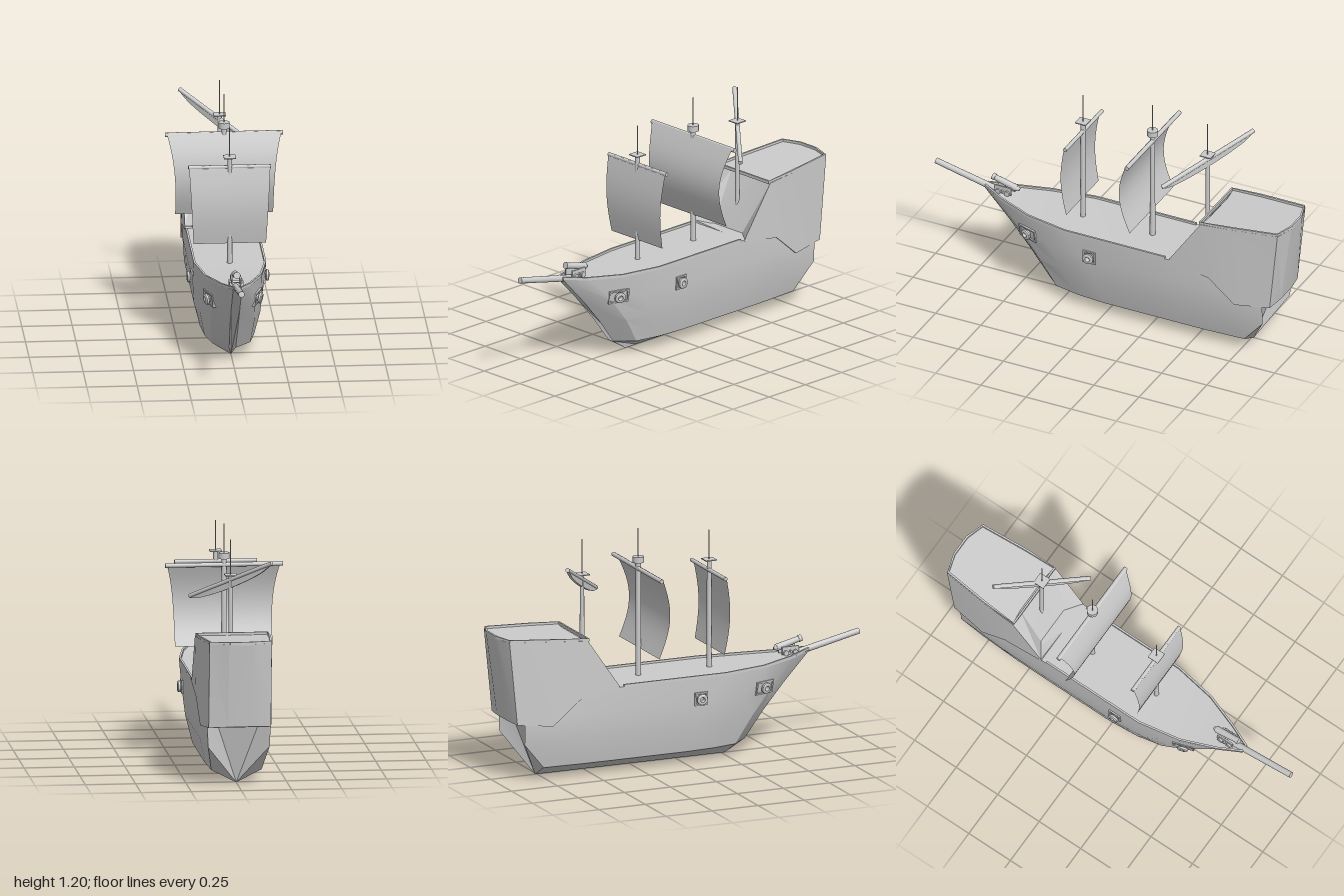
import * as THREE from 'three';
import { toCreasedNormals } from 'three/addons/utils/BufferGeometryUtils.js';

const V = (x, y, z) => new THREE.Vector3(x, y, z);
const mat = new THREE.MeshStandardMaterial({ color: 0xcccccc });
const thinMat = new THREE.MeshStandardMaterial({ color: 0xcccccc, side: THREE.DoubleSide });

function add(parent, name, geo, pos, material = mat) {
  const m = new THREE.Mesh(geo, material);
  m.name = name;
  if (pos) m.position.copy(pos);
  parent.add(m);
  return m;
}

// Skin a list of closed rings (counter-clockwise seen from the far end), with end caps
function loft(rings, crease = 0.4) {
  const out = [];
  const tri = (...pts) => pts.forEach((p) => out.push(p.x, p.y, p.z));
  const n = rings[0].length;
  for (let i = 0; i < rings.length - 1; i++) {
    for (let j = 0; j < n; j++) {
      const k = (j + 1) % n;
      tri(rings[i][j], rings[i][k], rings[i + 1][k]);
      tri(rings[i][j], rings[i + 1][k], rings[i + 1][j]);
    }
  }
  const a = rings[0], b = rings[rings.length - 1];
  for (let j = 1; j < n - 1; j++) {
    tri(a[0], a[j + 1], a[j]);
    tri(b[0], b[j], b[j + 1]);
  }
  const g = new THREE.BufferGeometry();
  g.setAttribute('position', new THREE.Float32BufferAttribute(out, 3));
  return toCreasedNormals(g, crease);
}

// Upright strip of rectangular section following a path
function strip(path, half, low, high) {
  return loft(path.map((p, i) => {
    const d = path[Math.min(i + 1, path.length - 1)].clone().sub(path[Math.max(i - 1, 0)]);
    const r = V(0, 1, 0).cross(d).normalize().multiplyScalar(half);
    const at = (s, y) => p.clone().addScaledVector(r, s).add(V(0, y, 0));
    const lo = low(i / (path.length - 1));
    return [at(1, lo), at(1, high), at(-1, high), at(-1, lo)];
  }), 0.3);
}

// Round bar between two points
function rod(parent, name, a, b, r0, r1 = r0, sides = 16) {
  const d = b.clone().sub(a);
  const m = add(parent, name, new THREE.CylinderGeometry(r1, r0, d.length(), sides), a.clone().add(b).multiplyScalar(0.5));
  m.quaternion.setFromUnitVectors(V(0, 1, 0), d.normalize());
  return m;
}

// Hull: five levels from keel to sheer, seven stations from stern to stem
function buildHull(ship) {
  const levels = [ // y, half width, stern z, stem z, bow fullness
    [0, 0, -0.76, 0.27, 1], [0.065, 0.135, -0.77, 0.37, 0.4], [0.2, 0.168, -0.885, 0.47, 0.5],
    [0.33, 0.178, -0.885, 0.58, 0.6], [0.448, 0.18, -0.885, 0.72, 1],
  ];
  const stations = [ // fraction of length, width factor, sheer rise
    [0, 0.83, 0], [0.18, 0.98, 0], [0.33, 1, 0], [0.676, 1, 0], [0.813, 0.79, 0.004], [0.925, 0.42, 0.016], [1, 0.12, 0.032],
  ];
  const rings = stations.map(([t, f, rise], i) => {
    const side = levels.map(([y, w, z0, z1, p], l) =>
      V(w * (i === 6 ? f : f ** p), y + (l === 4 ? rise : 0), THREE.MathUtils.lerp(z0, z1, t)));
    return [...side, ...side.slice(1).reverse().map((v) => V(-v.x, v.y, v.z))];
  });
  add(ship, 'hull', loft(rings, 0.45));
  // Low bulwark around the main deck
  const edge = rings.slice(2).map((r) => V(r[4].x - 0.005, r[4].y, r[4].z));
  edge[edge.length - 1].z -= 0.005;
  const path = [...edge, ...edge.slice().reverse().map((v) => V(-v.x, v.y, v.z))];
  add(ship, 'deckRail', strip(path, 0.005, () => -0.004, 0.011));
}

// Raised stern castle with sloped front and rounded overhanging transom
function buildSternCastle(ship) {
  const stations = [ // bottom z, y, top z, y, half width, top z at centre, y at centre
    [-0.94, 0.31, -0.998, 0.734, 0.06, -0.998, 0.734],
    [-0.925, 0.305, -0.968, 0.732, 0.155, -0.968, 0.732],
    [-0.74, 0.285, -0.72, 0.716, 0.177, -0.72, 0.716],
    [-0.6, 0.405, -0.555, 0.704, 0.183, -0.565, 0.704],
    [-0.38, 0.44, -0.385, 0.458, 0.181, -0.44, 0.445],
  ];
  add(ship, 'sternCastle', loft(stations.map(([bz, by, tz, ty, w, cz, cy]) => [
    V(w, by, bz), V(w, ty, tz), V(w * 0.55, cy, cz),
    V(-w * 0.55, cy, cz), V(-w, ty, tz), V(-w, by, bz),
  ]), 0.3));
  const edge = stations.slice(0, 4).map((s) => V(s[4] - 0.005, s[3], s[2] + 0.004));
  const path = [...edge, ...edge.slice().reverse().map((v) => V(-v.x, v.y, v.z)), edge[0].clone()];
  add(ship, 'castleRail', strip(path, 0.005, () => -0.004, 0.012));
}

// Billowing sheet; v runs from 0 at the foot to 1 at the yard
function sail(parent, name, top, foot, z, bulge, widthAt) {
  const g = new THREE.PlaneGeometry(2, 1, 10, 14);
  const p = g.attributes.position;
  for (let i = 0; i < p.count; i++) {
    const v = p.getY(i) + 0.5;
    p.setXYZ(i, p.getX(i) * widthAt(v), foot + (top - foot) * v, z + bulge * Math.sin(Math.PI * v));
  }
  g.computeVertexNormals();
  add(parent, name, g, null, thinMat);
}

function mast(ship, name, z, top, tip, r) {
  const g = new THREE.Group();
  g.name = name;
  ship.add(g);
  rod(g, 'pole', V(0, 0.44, z), V(0, top, z), r, r * 0.9);
  rod(g, 'flagPole', V(0, top, z), V(0, tip, z), 0.0025, 0.0025, 8);
  return g;
}

function buildRigging(ship) {
  const fore = mast(ship, 'foreMast', 0.185, 0.995, 1.15, 0.013);
  add(fore, 'platform', new THREE.BoxGeometry(0.06, 0.005, 0.06), V(0, 0.997, 0.185));
  rod(fore, 'yard', V(-0.205, 0.945, 0.182), V(0.205, 0.945, 0.182), 0.01);
  sail(fore, 'foreSail', 0.953, 0.55, 0.188, 0.025, (v) => 0.18 + 0.022 * v);

  const main = mast(ship, 'mainMast', -0.2, 1.03, 1.2, 0.014);
  add(main, 'crowsNest', new THREE.CylinderGeometry(0.028, 0.028, 0.03, 20), V(0, 1.04, -0.2));
  rod(main, 'yard', V(-0.293, 0.995, -0.203), V(0.293, 0.995, -0.203), 0.011);
  sail(main, 'mainSail', 1.003, 0.585, -0.194, 0.056, (v) => 0.243 + 0.042 * v ** 3);

  // Mizzen carries a slanted yard with its sail gathered beneath
  const mizzen = mast(ship, 'mizzenMast', -0.505, 0.995, 1.175, 0.012);
  add(mizzen, 'platform', new THREE.BoxGeometry(0.06, 0.005, 0.06), V(0, 0.997, -0.505));
  const a = V(-0.187, 1.08, -0.668), b = V(0.187, 0.866, -0.345);
  rod(mizzen, 'lateenYard', a, b, 0.011);
  const path = Array.from({ length: 11 }, (_, i) => a.clone().lerp(b, 0.03 + 0.094 * i));
  add(mizzen, 'furledSail', strip(path, 0.007, (t) => -0.012 - 0.03 * Math.sqrt(Math.sin(Math.PI * Math.min(t, 0.999))), 0));
}

// Gun port: frame, bezel and short flared muzzle, facing local +z
function gunPort(ship, x, y, z, yaw, tilt, width) {
  const barrel = [[0.018, -0.02], [0.018, 0.008], [0.028, 0.012], [0.028, 0.022], [0.022, 0.026], [0.013, 0.026], [0.013, -0.01], [0, -0.01]];
  for (const s of [1, -1]) {
    const g = new THREE.Group();
    g.name = s > 0 ? 'leftGunPort' : 'rightGunPort';
    g.position.set(s * x, y, z);
    g.rotation.set(tilt, s * yaw, 0, 'YXZ');
    ship.add(g);
    for (const k of [1, -1]) {
      add(g, 'frameSide', new THREE.BoxGeometry(0.008, 0.068, 0.014), V(k * (width / 2 - 0.004), 0, 0));
      add(g, 'frameEdge', new THREE.BoxGeometry(width, 0.008, 0.014), V(0, k * 0.03, 0));
    }
    const gun = new THREE.LatheGeometry(barrel.map((p) => new THREE.Vector2(...p)), 20);
    add(g, 'muzzle', toCreasedNormals(gun.rotateX(Math.PI / 2), 0.5));
  }
}

// Bowsprit and the swivel gun on the foredeck
function buildBow(ship) {
  rod(ship, 'bowsprit', V(0, 0.456, 0.6), V(0, 0.543, 0.997), 0.017, 0.015);
  const gun = new THREE.Group();
  gun.name = 'bowCannon';
  ship.add(gun);
  rod(gun, 'barrel', V(0, 0.505, 0.55), V(0, 0.54, 0.68), 0.018, 0.014);
  rod(gun, 'breech', V(0, 0.501, 0.535), V(0, 0.505, 0.55), 0.008, 0.016);
  rod(gun, 'muzzleRing', V(0, 0.537, 0.668), V(0, 0.541, 0.684), 0.017);
  rod(gun, 'axle', V(-0.036, 0.487, 0.615), V(0.036, 0.487, 0.615), 0.006);
  for (const s of [1, -1]) {
    add(gun, 'carriageCheek', new THREE.BoxGeometry(0.008, 0.04, 0.09), V(s * 0.022, 0.49, 0.615));
    for (const z of [0.59, 0.64]) rod(gun, 'wheel', V(s * 0.026, 0.479, z), V(s * 0.035, 0.479, z), 0.014);
  }
}

export function createModel() {
  const ship = new THREE.Group();
  ship.name = 'sailingShip';
  buildHull(ship);
  buildSternCastle(ship);
  buildRigging(ship);
  buildBow(ship);
  gunPort(ship, 0.178, 0.34, 0.06, Math.PI / 2, 0.03, 0.068);
  gunPort(ship, 0.118, 0.345, 0.43, Math.PI / 2 - 0.32, 0.15, 0.11);
  return ship;
}
